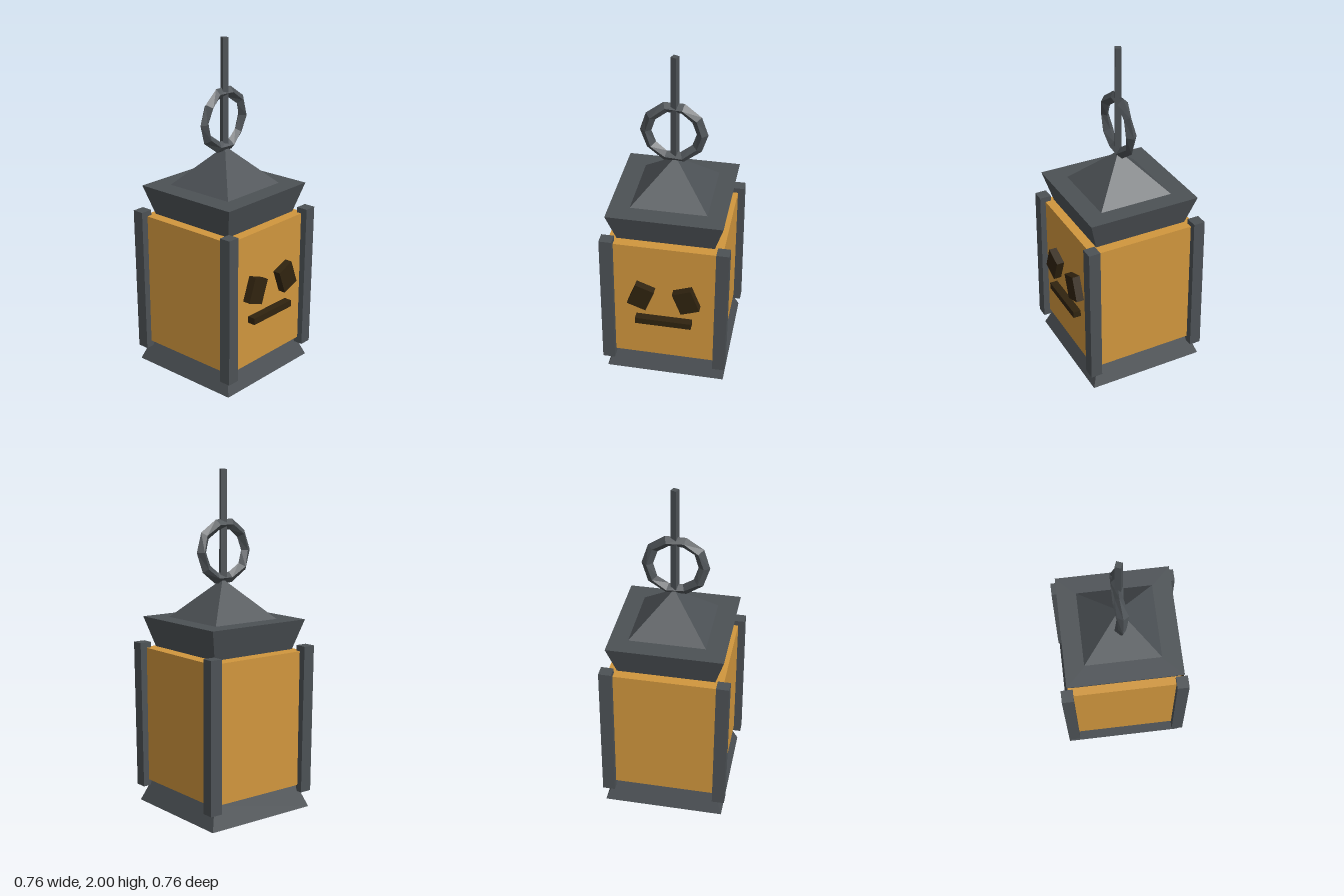
import * as THREE from 'three';

const iron = new THREE.MeshStandardMaterial({ color: 0x4c5155 });
iron.name = 'dark iron';
const amber = new THREE.MeshStandardMaterial({ color: 0xd0963d });
amber.name = 'amber glass';
const brown = new THREE.MeshStandardMaterial({ color: 0x30230f });
brown.name = 'dark brown';

// Faceted mesh: split the faces so every one is shaded flat
function part(group, name, geometry, material) {
  const flat = geometry.index ? geometry.toNonIndexed() : geometry;
  flat.computeVertexNormals();
  const mesh = new THREE.Mesh(flat, material);
  mesh.name = name;
  group.add(mesh);
  return mesh;
}

// Four-sided solid from a profile of [half width, height], bottom to top
function squareSolid(profile) {
  const points = profile.map(([half, y]) => new THREE.Vector2(half * Math.SQRT2, y));
  return new THREE.LatheGeometry(points, 4, Math.PI / 4);
}

export function createModel() {
  const lantern = new THREE.Group();
  lantern.name = 'lantern';

  // Flared foot with a very shallow underside
  part(lantern, 'base', squareSolid([[0, 0], [0.36, 0.01], [0.308, 0.145], [0, 0.145]]), iron)
    .position.set(0.003, 0, -0.01);

  // Glowing body
  part(lantern, 'body', new THREE.BoxGeometry(0.67, 0.81, 0.67), amber).position.set(0, 0.55, 0);

  // Slightly crooked corner posts
  for (const sx of [-1, 1]) {
    for (const sz of [-1, 1]) {
      const geometry = new THREE.BoxGeometry(0.074, 0.88, 0.07);
      const pos = geometry.attributes.position;
      for (let i = 0; i < pos.count; i++) {
        const top = pos.getY(i) > 0 ? 1 : -1;
        pos.setX(i, pos.getX(i) + 0.003 * top * sz);
        pos.setZ(i, pos.getZ(i) + 0.003 * top * sx);
      }
      part(lantern, 'cornerPost', geometry, iron).position.set(sx * 0.338, 0.547, sz * 0.337);
    }
  }

  // Roof: outward-leaning rim, then a pyramid cap
  part(lantern, 'roofRim', squareSolid([[0, 0.963], [0.285, 0.963], [0.337, 1.14], [0, 1.14]]), iron)
    .position.x = -0.002;
  part(lantern, 'roofCap', squareSolid([[0.225, 1.138], [0, 1.37]]), iron).position.x = 0.004;

  // Hand-forged ring, bent a little out of plane
  const ring = new THREE.TorusGeometry(0.162, 0.033, 4, 10);
  const p = ring.attributes.position;
  for (let i = 0; i < p.count; i++) {
    const angle = Math.atan2(p.getY(i), p.getX(i));
    p.setZ(i, p.getZ(i) * (0.85 + 0.15 * Math.cos(5 * angle)) + 0.007 * Math.sin(3 * angle));
  }
  part(lantern, 'ring', ring, iron).position.set(-0.005, 1.53, 0);

  // Hanging rod
  const rod = part(lantern, 'rod', new THREE.CylinderGeometry(0.024, 0.026, 0.62, 4), iron);
  rod.position.set(0, 1.69, 0);
  rod.rotation.y = 0.4;

  // Face: slanted eyes and a straight mouth
  for (const side of [-1, 1]) {
    const eye = part(lantern, side > 0 ? 'leftEye' : 'rightEye', new THREE.BoxGeometry(0.117, 0.15, 0.1), brown);
    eye.position.set(side * 0.134, 0.615, 0.332);
    eye.rotation.z = side * 0.36;
  }
  part(lantern, 'mouth', new THREE.BoxGeometry(0.335, 0.04, 0.1), brown).position.set(-0.002, 0.435, 0.332);

  return lantern;
}
